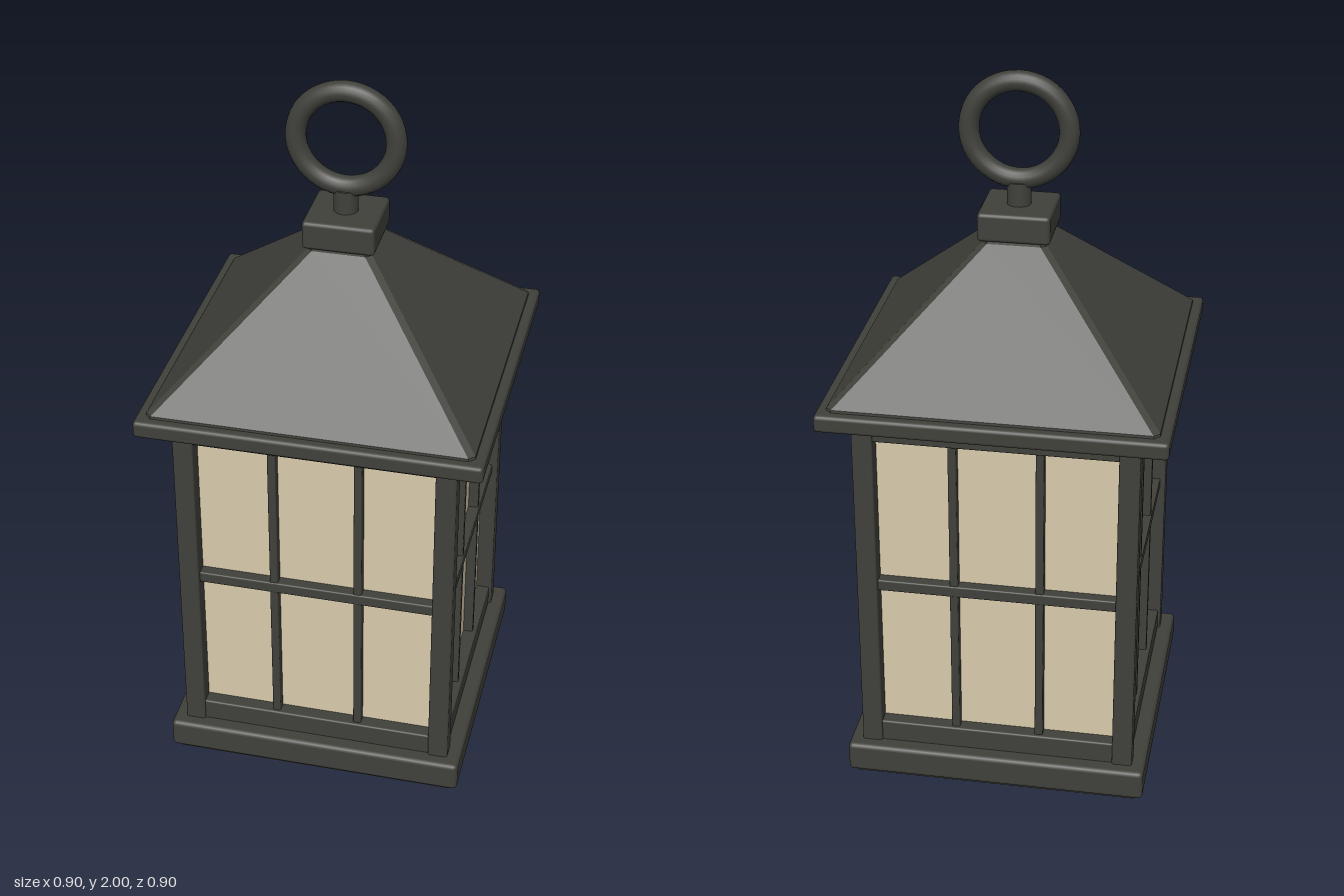
import * as THREE from 'three';
import { RoundedBoxGeometry } from 'three/addons/geometries/RoundedBoxGeometry.js';

const metal = new THREE.MeshStandardMaterial({ color: 0x40403b });
const glass = new THREE.MeshStandardMaterial({ color: 0xd8cbab });

function add(parent, name, geometry, x = 0, y = 0, z = 0, material = metal) {
  const mesh = new THREE.Mesh(geometry, material);
  mesh.name = name;
  mesh.position.set(x, y, z);
  parent.add(mesh);
  return mesh;
}

// Softened box spanning heights y0 to y1
function slab(parent, name, w, y0, y1, d, x = 0, z = 0, r = 0.008) {
  return add(parent, name, new RoundedBoxGeometry(w, y1 - y0, d, 2, r), x, (y0 + y1) / 2, z);
}

// Square solid with chamfered corners, lofted through [y, half width, chamfer] sections, bottom to top
function squareLoft(sections) {
  const rings = sections.map(([y, h, c]) => [
    [h, h - c], [h - c, h], [c - h, h], [-h, h - c],
    [-h, c - h], [c - h, -h], [h - c, -h], [h, c - h],
  ].map(([x, z]) => [x, y, z]));
  const pos = [];
  const tri = (...pts) => pts.forEach((p) => pos.push(...p));
  for (let s = 0; s < rings.length - 1; s++) {
    for (let i = 0; i < 8; i++) {
      const j = (i + 1) % 8;
      const [a, b, c, d] = [rings[s][i], rings[s][j], rings[s + 1][j], rings[s + 1][i]];
      tri(a, c, b);
      tri(a, d, c);
    }
  }
  const bottom = rings[0], top = rings[rings.length - 1];
  for (let i = 1; i < 7; i++) {
    tri(bottom[0], bottom[i], bottom[i + 1]);
    tri(top[0], top[i + 1], top[i]);
  }
  const geometry = new THREE.BufferGeometry();
  geometry.setAttribute('position', new THREE.Float32BufferAttribute(pos, 3));
  geometry.computeVertexNormals();
  return geometry;
}

export function createModel() {
  const lantern = new THREE.Group();
  lantern.name = 'lantern';

  // Base: tapered underside and square plinth
  add(lantern, 'baseUnderside', squareLoft([
    [0, 0.275, 0.01], [0.012, 0.302, 0.015], [0.085, 0.4, 0.015], [0.1, 0.402, 0.01],
  ]));
  slab(lantern, 'basePlinth', 0.82, 0.09, 0.175, 0.82, 0, 0, 0.012);

  // Glazed body
  add(lantern, 'glassPanes', new THREE.BoxGeometry(0.66, 0.98, 0.66), 0, 0.67, 0, glass);
  for (const x of [-1, 1]) {
    for (const z of [-1, 1]) {
      slab(lantern, 'cornerPost', 0.055, 0.17, 1.175, 0.055, x * 0.3475, z * 0.3475, 0.006);
    }
  }

  // The same rails and glazing bars on each of the four sides
  for (let i = 0; i < 4; i++) {
    const side = new THREE.Group();
    side.name = 'windowFrame';
    side.rotation.y = i * Math.PI / 2;
    slab(side, 'bottomRail', 0.66, 0.17, 0.235, 0.045, 0, 0.345, 0.005);
    slab(side, 'topRail', 0.66, 1.108, 1.175, 0.045, 0, 0.345, 0.005);
    slab(side, 'middleBar', 0.66, 0.655, 0.687, 0.034, 0, 0.343, 0.004);
    for (const x of [-0.115, 0.115]) {
      slab(side, 'verticalBar', 0.022, 0.2, 1.14, 0.03, x, 0.342, 0.004);
    }
    lantern.add(side);
  }

  // Roof
  slab(lantern, 'eave', 0.904, 1.168, 1.215, 0.904, 0, 0, 0.01);
  add(lantern, 'roof', squareLoft([
    [1.205, 0.427, 0.015], [1.222, 0.425, 0.015], [1.56, 0.085, 0.015], [1.58, 0.08, 0.015],
  ]));
  slab(lantern, 'roofCap', 0.19, 1.568, 1.645, 0.19, 0, 0, 0.01);

  // Hanging ring on its stem
  add(lantern, 'ringStem', new THREE.CylinderGeometry(0.032, 0.032, 0.07, 24), 0, 1.672, 0);
  add(lantern, 'hangingRing', new THREE.TorusGeometry(0.13, 0.027, 16, 48), 0, 1.843, 0);

  return lantern;
}
